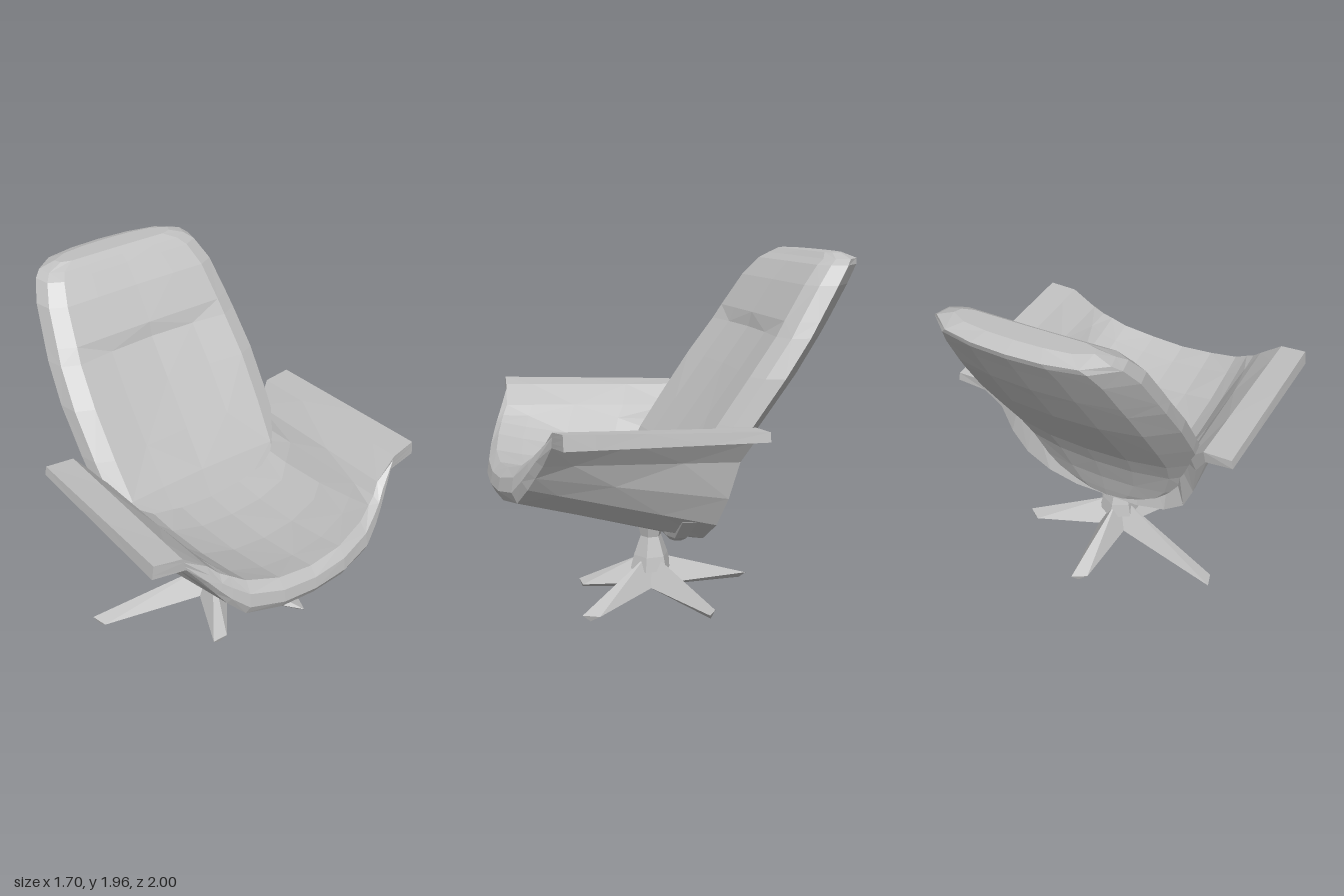
import * as THREE from 'three';
import { ConvexGeometry } from 'three/addons/geometries/ConvexGeometry.js';

// Closed ring from two half profiles (centre outwards), mirrored across x = 0.
function ringFrom(halfA, halfB) {
  const full = h => [
    ...h.slice(1).reverse().map(([x, y, z]) => [-x, y, z]),
    ...h
  ];
  return [...full(halfA), ...full(halfB).reverse()];
}

// Faceted, capped skin through a list of rings; always faces outwards.
function loft(rings) {
  const n = rings[0].length;
  const tris = [];
  const quad = (a, b, c, d) => tris.push([a, b, c], [a, c, d]);
  for (let r = 0; r < rings.length - 1; r++) {
    const p = rings[r], q = rings[r + 1];
    for (let i = 0; i < n; i++) {
      const j = (i + 1) % n;
      if ((i + r) % 2) quad(p[i], p[j], q[j], q[i]);
      else quad(p[j], q[j], q[i], p[i]);
    }
  }
  const first = rings[0], last = rings[rings.length - 1];
  for (let i = 0; i < n / 2 - 1; i++) {
    quad(first[i], first[n - 1 - i], first[n - 2 - i], first[i + 1]);
    quad(last[i], last[i + 1], last[n - 2 - i], last[n - 1 - i]);
  }
  const v = p => new THREE.Vector3(...p);
  const volume = tris.reduce((s, [a, b, c]) => s + v(a).dot(v(b).cross(v(c))), 0);
  if (volume < 0) tris.forEach(t => t.reverse());
  const geo = new THREE.BufferGeometry();
  geo.setAttribute('position', new THREE.Float32BufferAttribute(tris.flat(2), 3));
  geo.computeVertexNormals();
  return geo;
}

const mix = (a, b, t) => a.map((v, k) => v + (b[k] - v) * t);

// Seat bowl with flared armrests, lofted from back to front.
function seatGeometry() {
  // Each row: back point, then front point.
  const outer = [
    [[0, 0.40, -0.07], [0, 0.70, 0.97]],
    [[0.20, 0.40, -0.07], [0.20, 0.705, 0.96]],
    [[0.38, 0.45, -0.08], [0.40, 0.74, 0.92]],
    [[0.51, 0.56, -0.11], [0.49, 0.83, 0.88]],
    [[0.58, 0.72, -0.15], [0.54, 0.90, 0.85]],
    [[0.61, 0.92, -0.20], [0.59, 0.97, 0.82]],
    [[0.68, 1.04, -0.25], [0.67, 1.08, 0.79]],
    [[0.84, 1.07, -0.27], [0.85, 1.10, 0.77]]
  ];
  const inner = [
    [[0, 0.76, 0], [0, 0.86, 0.94]],
    [[0.20, 0.77, 0], [0.20, 0.88, 0.93]],
    [[0.38, 0.80, -0.02], [0.38, 0.93, 0.89]],
    [[0.46, 0.85, -0.10], [0.46, 0.98, 0.86]],
    [[0.53, 0.92, -0.15], [0.51, 1.01, 0.84]],
    [[0.57, 1.00, -0.20], [0.56, 1.06, 0.81]],
    [[0.67, 1.11, -0.26], [0.69, 1.16, 0.79]],
    [[0.83, 1.12, -0.27], [0.84, 1.18, 0.77]]
  ];
  const rings = [0, 0.3, 0.6, 0.85, 1].map(t => {
    const sag = 0.04 * Math.sin(Math.PI * t);
    const out = outer.map(([b, f]) => mix(b, f, t));
    const inn = inner.map(([b, f], i) => {
      const p = mix(b, f, t);
      if (i < 4) p[1] -= sag;
      return p;
    });
    return ringFrom(out, inn);
  });
  // Rounded front lip
  const front = rings[rings.length - 1];
  rings.push(front.map((p, i) => {
    const q = mix(p, front[front.length - 1 - i], 0.3);
    if (q[1] < 1.05) q[2] += 0.035;
    return q;
  }));
  return loft(rings);
}

// Reclined backrest: horizontal slices with a curved rear and a headrest bulge.
function backrestGeometry() {
  // height, half width, front z, back z, hollow in the middle of the front
  const slices = [
    [0.40, 0.24, 0.05, -0.07, 0],
    [0.46, 0.38, 0.10, -0.09, 0],
    [0.58, 0.50, 0.10, -0.125, 0],
    [0.75, 0.57, 0.10, -0.20, 0],
    [0.90, 0.60, 0.02, -0.29, 0.01],
    [1.10, 0.615, -0.12, -0.44, 0.02],
    [1.34, 0.62, -0.29, -0.62, 0.03],
    [1.54, 0.60, -0.44, -0.755, 0.03],
    [1.62, 0.585, -0.49, -0.81, 0],
    [1.80, 0.55, -0.61, -0.925, 0],
    [1.90, 0.50, -0.70, -0.99, 0],
    [1.93, 0.46, -0.75, -1.00, 0],
    [1.96, 0.37, -0.79, -0.92, 0]
  ];
  const frontHalf = [[0, 0.02], [0.45, 0.01], [0.8, 0], [0.96, 0.14]];
  const backHalf = [[0, 1], [0.4, 0.96], [0.76, 0.82], [1, 0.45]];
  return loft(slices.map(([y, w, zf, zb, dip]) => {
    const place = ([x, u]) => [x * w, y, zf + (zb - zf) * u];
    const front = frontHalf.map(place);
    front[0][2] -= dip;
    front[1][2] -= dip * 0.7;
    return ringFrom(front, backHalf.map(place));
  }));
}

// Ridged star leg from the hub to a tip.
function legGeometry(hub, tip) {
  const dir = tip.clone().sub(hub).setY(0).normalize();
  const side = new THREE.Vector3(-dir.z, 0, dir.x);
  const at = (base, along, across, y) =>
    base.clone().addScaledVector(dir, along).addScaledVector(side, across).setY(y);
  return new ConvexGeometry([
    at(hub, 0, 0, 0.26), at(hub, 0.05, 0, 0.25), at(hub, 0, 0, 0.06),
    at(hub, 0.09, 0.085, 0.10), at(hub, 0.09, -0.085, 0.10),
    at(tip, 0, 0.03, tip.y + 0.035), at(tip, -0.05, -0.05, tip.y + 0.03),
    at(tip, -0.03, 0, tip.y)
  ]);
}

export function createModel() {
  const model = new THREE.Group();
  model.name = 'swivelArmchair';
  const grey = new THREE.MeshStandardMaterial({ color: 0xc0c0c0 });
  grey.name = 'plain grey';
  const add = (geo, name, parent = model) => {
    const mesh = new THREE.Mesh(geo, grey);
    mesh.name = name;
    parent.add(mesh);
    return mesh;
  };

  add(seatGeometry(), 'seatWithArmrests');
  add(backrestGeometry(), 'backrest');

  // Swivel base
  const base = new THREE.Group();
  base.name = 'swivelBase';
  model.add(base);
  const hub = new THREE.Vector3(0, 0, 0.1);
  const profile = [[0, 0.16], [0.12, 0.18], [0.10, 0.26], [0.06, 0.37], [0.08, 0.47], [0, 0.47]]
    .map(([r, y]) => new THREE.Vector2(r, y));
  const columnGeo = new THREE.LatheGeometry(profile, 6).toNonIndexed();
  columnGeo.computeVertexNormals();
  add(columnGeo, 'column', base).position.copy(hub);
  const tips = [[-0.71, 0, -0.1], [-0.02, 0.045, -0.48], [0.52, 0.03, -0.1], [0.35, 0.03, 0.56], [-0.23, 0.02, 0.48]];
  tips.forEach((t, i) => add(legGeometry(hub, new THREE.Vector3(...t)), 'leg' + (i + 1), base));

  return model;
}
